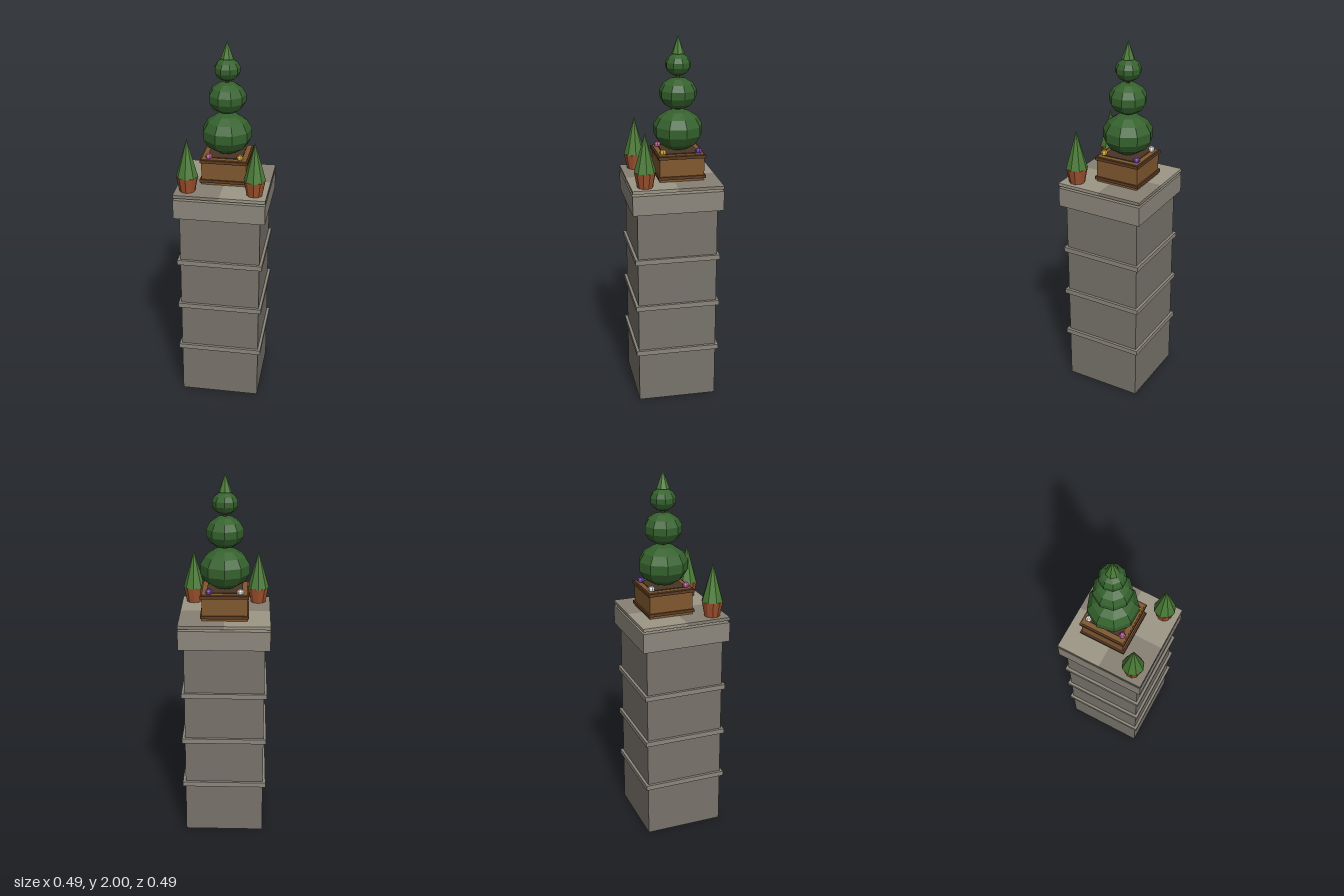
import * as THREE from 'three';

const mat = (color) => new THREE.MeshStandardMaterial({ color, flatShading: true });
const M = {
  stone: mat(0x78736b), trim: mat(0x8c877c), tileLight: mat(0x9d9686), tileDark: mat(0x877f72),
  wood: mat(0x80582f), woodDark: mat(0x5c3b22), soil: mat(0x4a3524), bark: mat(0x5a3d26),
  hedge: mat(0x35612d), shoot: mat(0x4a7a36), clay: mat(0xa0532f),
};

function add(parent, name, geometry, material, x = 0, y = 0, z = 0) {
  const mesh = new THREE.Mesh(geometry, material);
  mesh.name = name;
  mesh.position.set(x, y, z);
  parent.add(mesh);
  return mesh;
}

// Square slab between two heights
function slab(parent, name, half, y0, y1, material, x = 0, z = 0) {
  return add(parent, name, new THREE.BoxGeometry(half * 2, y1 - y0, half * 2), material, x, (y0 + y1) / 2, z);
}

// Upright cone or tapered cylinder with a corner towards the back
function taper(parent, name, rTop, rBottom, y0, y1, sides, material, x = 0, z = 0) {
  const mesh = add(parent, name, new THREE.CylinderGeometry(rTop, rBottom, y1 - y0, sides), material, x, (y0 + y1) / 2, z);
  mesh.rotation.y = Math.PI;
  return mesh;
}

function createTower() {
  const tower = new THREE.Group();
  tower.name = 'tower';
  slab(tower, 'shaft', 0.215, 0, 1.112, M.stone);
  for (const y of [0.285, 0.556, 0.827]) slab(tower, 'stringCourse', 0.23, y, y + 0.027, M.trim);
  slab(tower, 'parapet', 0.243, 1.112, 1.218, M.trim);
  // Four roof tiles in a checker pattern, set just above the parapet
  for (const sx of [-1, 1]) for (const sz of [-1, 1]) {
    slab(tower, 'roofTile', 0.1215, 1.23, 1.247, sx === sz ? M.tileLight : M.tileDark, sx * 0.1215, sz * 0.1215);
  }
  return tower;
}

function createPlanter() {
  const planter = new THREE.Group();
  planter.name = 'planter';
  planter.position.z = -0.042;
  slab(planter, 'planterBox', 0.12, 1.247, 1.39, M.wood);
  slab(planter, 'lowerBand', 0.128, 1.26, 1.276, M.woodDark);
  slab(planter, 'upperBand', 0.128, 1.37, 1.386, M.woodDark);
  slab(planter, 'soil', 0.094, 1.38, 1.394, M.soil);

  // Corner flowers
  const flowers = [[-1, 1, 0xc0609c], [1, 1, 0xc9a82c], [-1, -1, 0xe4e0e0], [1, -1, 0x7040b0]];
  for (const [sx, sz, color] of flowers) {
    add(planter, 'flower', new THREE.SphereGeometry(0.018, 6, 5), mat(color), sx * 0.083, 1.4, sz * 0.097);
  }

  // Clipped topiary: trunk, three squashed balls and a pointed tip
  taper(planter, 'trunk', 0.011, 0.014, 1.38, 1.92, 6, M.bark);
  for (const [r, halfHeight, y] of [[0.136, 0.11, 1.502], [0.102, 0.085, 1.697], [0.07, 0.059, 1.848]]) {
    const ball = add(planter, 'topiaryBall', new THREE.SphereGeometry(r, 9, 7), M.hedge, 0, y, 0);
    ball.scale.y = halfHeight / r;
    ball.rotation.y = -Math.PI / 2;
  }
  taper(planter, 'topiaryTip', 0, 0.035, 1.905, 2, 7, M.shoot);
  return planter;
}

function createPottedTree(side) {
  const tree = new THREE.Group();
  tree.name = side > 0 ? 'leftPottedTree' : 'rightPottedTree';
  tree.position.set(side * 0.178, 0, 0.167);
  taper(tree, 'pot', 0.058, 0.042, 1.247, 1.33, 10, M.clay);
  taper(tree, 'foliage', 0, 0.059, 1.328, 1.536, 8, M.shoot);
  return tree;
}

export function createModel() {
  const model = new THREE.Group();
  model.name = 'towerWithRoofGarden';
  model.add(createTower(), createPlanter(), createPottedTree(1), createPottedTree(-1));
  return model;
}
